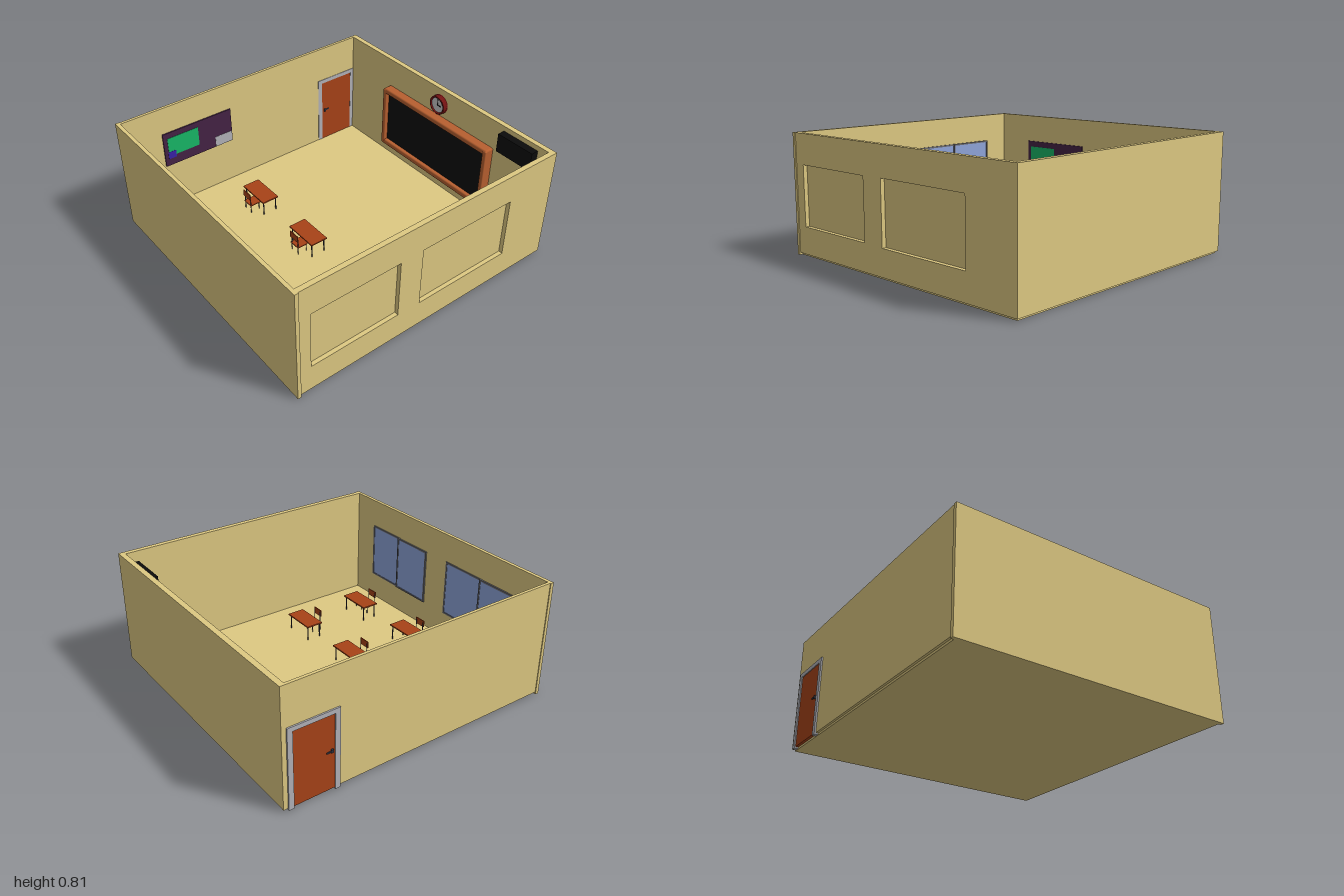
import * as THREE from 'three';
import { RoundedBoxGeometry } from 'three/addons/geometries/RoundedBoxGeometry.js';

const mats = {};
const mat = (color) => (mats[color] ??= new THREE.MeshStandardMaterial({ color }));

const WALL = 0xdec982, WOOD = 0xa84318, RAIL = 0xb86030, METAL = 0x3a3a48;
const BLACK = 0x0c0c0c, GREY = 0xb4b4ba, GLASS = 0x8fa5da, FRAME = 0x6a6a70;

// Box given by its limits along each axis; r > 0 rounds the edges
function box(parent, name, color, [x0, x1], [y0, y1], [z0, z1], r = 0) {
  const size = [x1 - x0, y1 - y0, z1 - z0];
  const geo = r ? new RoundedBoxGeometry(...size, 3, r) : new THREE.BoxGeometry(...size);
  const mesh = new THREE.Mesh(geo, mat(color));
  mesh.position.set((x0 + x1) / 2, (y0 + y1) / 2, (z0 + z1) / 2);
  mesh.name = name;
  parent.add(mesh);
  return mesh;
}

function group(parent, name) {
  const g = new THREE.Group();
  g.name = name;
  parent.add(g);
  return g;
}

function rect(path, x0, x1, y0, y1) {
  path.moveTo(x0, y0);
  path.lineTo(x1, y0);
  path.lineTo(x1, y1);
  path.lineTo(x0, y1);
  path.closePath();
  return path;
}

function addRoom(root) {
  const room = group(root, 'room');
  const H = 0.815;
  box(room, 'floor', WALL, [-0.985, 0.985], [0, 0.02], [-0.965, 0.965]);
  box(room, 'leftSideWall', WALL, [-1, -0.975], [0, H], [-0.985, 0.985]);
  box(room, 'rightSideWall', WALL, [0.963, 1], [0.015, H], [-0.98, 0.98]);
  box(room, 'backWall', WALL, [-0.975, 0.963], [0.015, H], [-0.98, -0.96]);
  box(room, 'frontWallInner', WALL, [-0.975, 0.963], [0.015, H], [0.945, 0.952]);

  // Outer skin of the front wall with two blind window recesses
  const skin = rect(new THREE.Shape(), -0.975, 0.963, 0.015, H);
  skin.holes.push(rect(new THREE.Path(), -0.9, -0.265, 0.2, 0.61));
  skin.holes.push(rect(new THREE.Path(), -0.095, 0.62, 0.195, 0.615));
  const outer = new THREE.Mesh(
    new THREE.ExtrudeGeometry(skin, { depth: 0.028, bevelEnabled: false }), mat(WALL));
  outer.position.z = 0.952;
  outer.name = 'frontWallOuter';
  room.add(outer);
}

// One sash: four frame bars around a pane
function addSash(parent, x, z0, z1, y0, y1) {
  const sash = group(parent, 'sash'), t = 0.012, X = [x - 0.005, x + 0.005];
  box(sash, 'sashBottom', FRAME, X, [y0, y0 + t], [z0, z1]);
  box(sash, 'sashTop', FRAME, X, [y1 - t, y1], [z0, z1]);
  box(sash, 'sashSide', FRAME, X, [y0 + t, y1 - t], [z0, z0 + t]);
  box(sash, 'sashSide', FRAME, X, [y0 + t, y1 - t], [z1 - t, z1]);
  box(sash, 'pane', GLASS, [x - 0.002, x + 0.002], [y0 + t, y1 - t], [z0 + t, z1 - t]);
}

// Two sliding sashes that overlap in the middle
function addWindow(root, z0, z1) {
  const win = group(root, 'slidingWindow'), mid = (z0 + z1) / 2;
  addSash(win, -0.967, z0, mid + 0.01, 0.21, 0.615);
  addSash(win, -0.974, mid - 0.01, z1, 0.21, 0.615);
}

function addDoor(root) {
  const door = group(root, 'door'), Z = [-0.99, -0.957];
  box(door, 'doorLeaf', WOOD, [0.66, 0.935], [0.015, 0.52], [-0.984, -0.958]);
  box(door, 'doorJamb', GREY, [0.625, 0.66], [0.005, 0.55], Z);
  box(door, 'doorJamb', GREY, [0.935, 0.97], [0.005, 0.55], Z);
  box(door, 'doorHead', GREY, [0.66, 0.935], [0.52, 0.55], Z);
  for (const z of [-0.991, -0.953]) {
    box(door, 'doorHandle', METAL, [0.675, 0.72], [0.275, 0.284], [z - 0.003, z + 0.003]);
    box(door, 'handlePlate', METAL, [0.673, 0.687], [0.268, 0.291], [z - 0.002, z + 0.008]);
  }
}

function addPinboard(root) {
  const board = group(root, 'pinboard');
  box(board, 'boardPanel', 0x452345, [-0.7, -0.16], [0.355, 0.617], [-0.96, -0.951]);
  box(board, 'greenPoster', 0x18b868, [-0.67, -0.43], [0.43, 0.575], [-0.952, -0.949]);
  box(board, 'bluePoster', 0x3a22a8, [-0.675, -0.615], [0.41, 0.465], [-0.952, -0.948]);
  box(board, 'greyPoster', GREY, [-0.3, -0.162], [0.357, 0.437], [-0.952, -0.949]);
}

function addBlackboard(root) {
  const board = group(root, 'blackboard'), X = [0.89, 0.963];
  box(board, 'writingSurface', BLACK, [0.92, 0.963], [0.15, 0.59], [-0.5, 0.5]);
  box(board, 'topRail', RAIL, X, [0.57, 0.61], [-0.515, 0.515], 0.012);
  box(board, 'bottomRail', RAIL, X, [0.13, 0.17], [-0.515, 0.515], 0.012);
  for (const s of [-1, 1]) {
    box(board, 'sideRail', RAIL, [0.888, 0.963], [0.135, 0.605],
      [s * 0.5 - 0.016, s * 0.5 + 0.016], 0.008);
  }
}

function addClock(root) {
  // Built facing up, then turned to face into the room
  const clock = group(root, 'clock');
  const rim = new THREE.Mesh(new THREE.LatheGeometry([
    [0, 0], [0.07, 0], [0.07, 0.034], [0.066, 0.038], [0.058, 0.038], [0.056, 0.026],
  ].map(([r, y]) => new THREE.Vector2(r, y)), 32), mat(0x7a1414));
  rim.material.side = THREE.DoubleSide;
  rim.name = 'clockRim';
  const face = new THREE.Mesh(new THREE.CylinderGeometry(0.057, 0.057, 0.004, 32), mat(0xe6e6e6));
  face.position.y = 0.026;
  face.name = 'clockFace';
  clock.add(rim, face);
  box(clock, 'minuteHand', BLACK, [-0.004, 0.046], [0.028, 0.031], [-0.002, 0.002]);
  box(clock, 'hourHand', BLACK, [-0.003, 0.003], [0.028, 0.032], [-0.004, 0.03]);
  clock.rotation.z = Math.PI / 2;
  clock.position.set(0.963, 0.7, 0);
}

function addDesk(root, x, z) {
  const set = group(root, 'deskAndChair');
  const desk = group(set, 'desk'), chair = group(set, 'chair');
  box(desk, 'deskTop', WOOD, [-0.063, 0.063], [0.127, 0.137], [-0.124, 0.124]);
  box(chair, 'seat', WOOD, [-0.115, -0.035], [0.078, 0.085], [-0.042, 0.042]);
  box(chair, 'backrest', WOOD, [-0.118, -0.11], [0.13, 0.18], [-0.042, 0.042], 0.003);

  const leg = (parent, name, lx, lz, top, r) => {
    const m = new THREE.Mesh(new THREE.CylinderGeometry(r, r, top - 0.02, 8), mat(METAL));
    m.position.set(lx, (top + 0.02) / 2, lz);
    m.name = name;
    parent.add(m);
  };
  for (const sz of [-1, 1]) {
    for (const lx of [-0.05, 0.05]) leg(desk, 'deskLeg', lx, sz * 0.108, 0.127, 0.004);
    leg(chair, 'chairFrontLeg', -0.042, sz * 0.034, 0.078, 0.003);
    leg(chair, 'chairBackLeg', -0.109, sz * 0.034, 0.165, 0.003);
  }
  set.position.set(x, 0, z);
}

export function createModel() {
  const root = new THREE.Group();
  root.name = 'classroom';
  addRoom(root);
  addWindow(root, -0.755, -0.065);
  addWindow(root, 0.14, 0.75);
  addDoor(root);
  addPinboard(root);
  addBlackboard(root);
  addClock(root);
  // Wall speaker unit
  box(root, 'wallUnit', BLACK, [0.91, 0.963], [0.645, 0.78], [0.58, 0.865]);
  for (const x of [-0.702, -0.192]) for (const z of [-0.565, -0.003, 0.558]) addDesk(root, x, z);
  return root;
}
